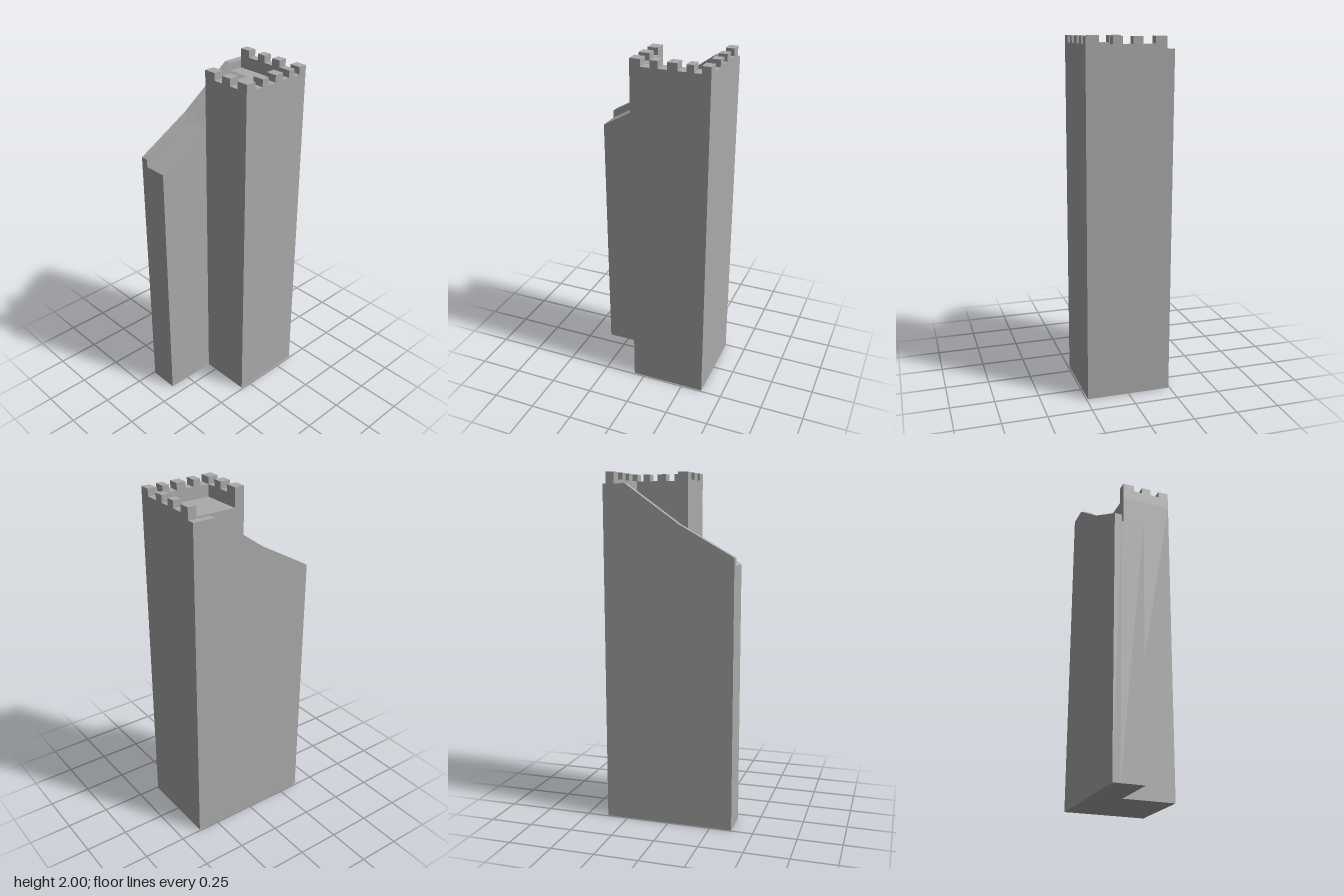
import * as THREE from 'three';

const DECK = 1.89, SILL = 1.96, TOP = 2;

export function createModel() {
  const group = new THREE.Group();
  const stone = new THREE.MeshStandardMaterial({ color: 0xaaaaaa });
  stone.name = 'grey stone';

  const add = (name, geometry) => {
    const mesh = new THREE.Mesh(geometry, stone);
    mesh.name = name;
    group.add(mesh);
  };
  const extrude = (points, depth) => new THREE.ExtrudeGeometry(
    new THREE.Shape(points.map(([u, y]) => new THREE.Vector2(u, y))),
    { depth, bevelEnabled: false });

  // Side profile in (z, y), spanning x0..x1
  const alongX = (points, x0, x1) =>
    extrude(points, x1 - x0).rotateY(-Math.PI / 2).translate(x1, 0, 0);
  // Front profile in (x, y), spanning z0..z1
  const alongZ = (points, z0, z1) => extrude(points, z1 - z0).translate(0, 0, z0);

  // Battlement outline: a low wall with merlons [from, to] listed in rising order
  const battlement = (u0, u1, merlons) => {
    const points = [[u0, DECK], [u1, DECK], [u1, SILL]];
    for (const [a, b] of [...merlons].reverse()) {
      points.push([b, SILL], [b, TOP], [a, TOP], [a, SILL]);
    }
    points.push([u0, SILL]);
    return points.filter((p, i) => i === 0 || p[0] !== points[i - 1][0] || p[1] !== points[i - 1][1]);
  };

  // Main tower body, up to the deck
  add('towerBody', alongX([[-0.375, 0], [0.065, 0], [0.065, DECK], [-0.375, DECK]], -0.067, 0.241));

  // Wing carrying the two-pitch ramp up to the deck, and its raised outer wall
  const wing = (lift) => [
    [-0.375, 0], [0.375, 0], [0.375, 1.495 + lift], [0.065, 1.67 + lift],
    [-0.245, DECK + lift], [-0.375, DECK + lift],
  ];
  add('rampWing', alongX(wing(0), -0.2, -0.067));
  add('rampOuterWall', alongX(wing(0.044), -0.243, -0.2));

  // Battlements on three sides of the deck
  add('sideBattlement', alongX(battlement(-0.375, 0.065,
    [[-0.375, -0.325], [-0.285, -0.245], [-0.198, -0.143], [-0.092, -0.048], [0.005, 0.065]]), 0.176, 0.241));
  add('backBattlement', alongZ(battlement(-0.2, 0.176,
    [[-0.2, -0.135], [-0.067, -0.015], [0.042, 0.097]]), -0.375, -0.326));
  add('frontBattlement', alongZ(battlement(-0.067, 0.176,
    [[-0.067, 0.004], [0.06, 0.12]]), 0.005, 0.065));

  return group;
}
